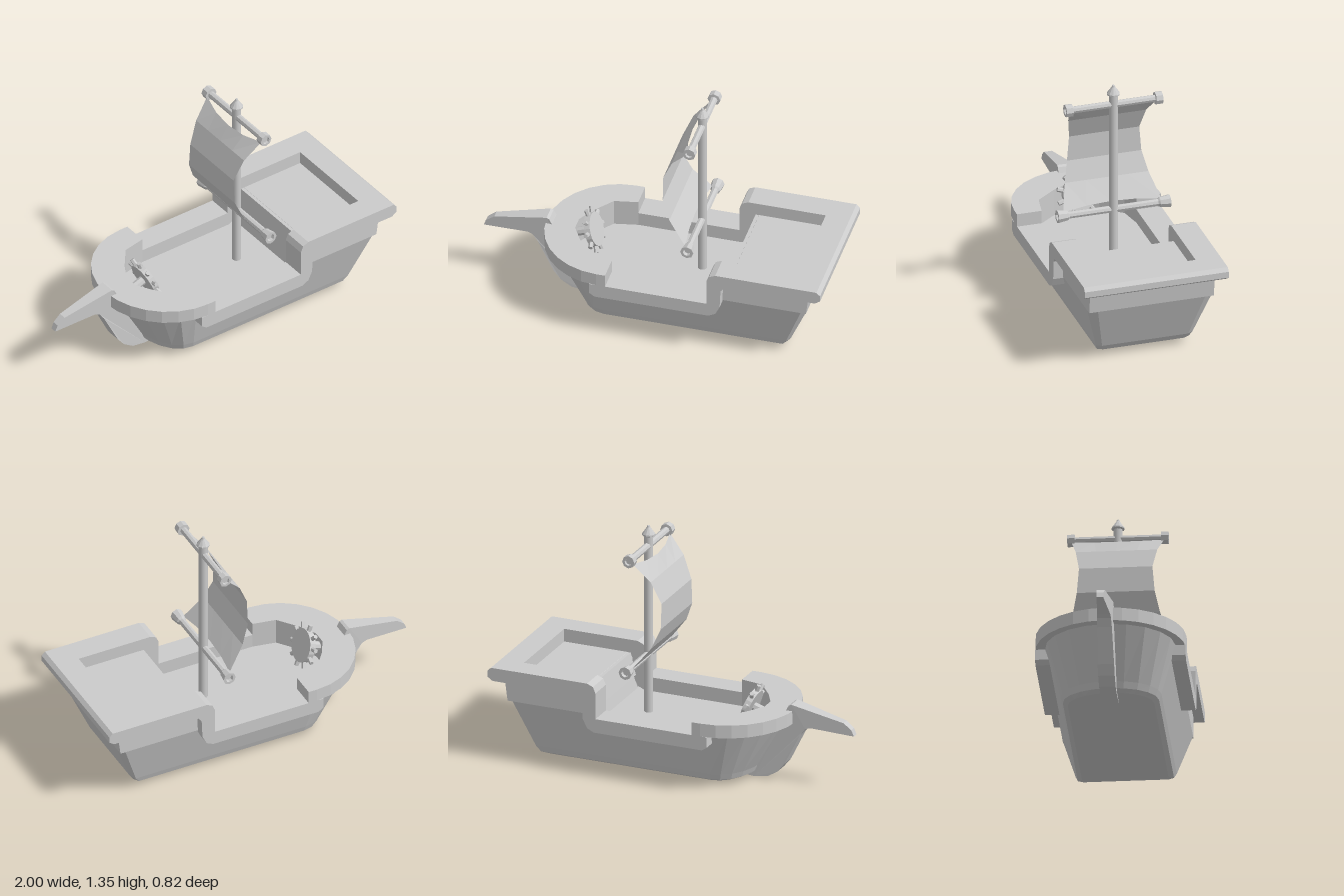
import * as THREE from 'three';

const flat = new THREE.MeshStandardMaterial({ color: 0xcccccc, flatShading: true });
const thin = new THREE.MeshStandardMaterial({ color: 0xcccccc, flatShading: true, side: THREE.DoubleSide });
const smooth = new THREE.MeshStandardMaterial({ color: 0xcccccc });

const MAST_X = 0.225, DECK_Y = 0.26;

function add(parent, name, geometry, material = flat) {
  const mesh = new THREE.Mesh(geometry, material);
  mesh.name = name;
  parent.add(mesh);
  return mesh;
}

const toShape = pts => new THREE.Shape(pts.map(p => new THREE.Vector2(...p)));

// Side profile (x, y) extruded between two z values
function sideSlab(pts, z0, z1) {
  return new THREE.ExtrudeGeometry(toShape(pts), { depth: z1 - z0, bevelEnabled: false }).translate(0, 0, z0);
}

// Plan shape (x, z) extruded between two heights
function planSlab(pts, y0, y1) {
  return new THREE.ExtrudeGeometry(toShape(pts), { depth: y1 - y0, bevelEnabled: false })
    .rotateX(-Math.PI / 2).translate(0, y0, 0);
}

// Bow half-ellipse from +z to -z
function bowArc(shoulder, tip, w, n) {
  return Array.from({ length: n + 1 }, (_, i) => {
    const a = (i / n) * Math.PI;
    return [shoulder - (shoulder - tip) * Math.sin(a), w * Math.cos(a)];
  });
}

// Grid of rows of [x, y, z] joined into a surface
function loft(rows, closed, cap) {
  const n = rows[0].length, index = [], pos = rows.flat(2);
  for (let r = 0; r < rows.length - 1; r++) {
    for (let i = 0; i < (closed ? n : n - 1); i++) {
      const a = r * n + i, b = r * n + (i + 1) % n;
      index.push(a, a + n, b, b, a + n, b + n);
    }
  }
  if (cap) {
    const c = pos.length / 3;
    pos.push(0.15, rows[0][0][1], 0);
    for (let i = 0; i < n; i++) index.push(c, i, (i + 1) % n);
  }
  const g = new THREE.BufferGeometry();
  g.setAttribute('position', new THREE.Float32BufferAttribute(pos, 3));
  g.setIndex(index);
  g.computeVertexNormals();
  return g;
}

function buildHull(ship) {
  // height, half width, stern x, bow x, shoulder x, corner chamfer
  const levels = [
    [0.02, 0.235, 0.72, -0.40, -0.25, 0.03],
    [0.035, 0.262, 0.765, -0.43, -0.255, 0.03],
    [0.07, 0.275, 0.79, -0.445, -0.26, 0.03],
    [0.34, 0.355, 0.905, -0.60, -0.30, 0.05],
  ];
  const rows = levels.map(([y, w, s, b, sh, c]) =>
    [[s, w - c], [s - c * 0.6, w], ...bowArc(sh, b, w, 10), [s - c * 0.6, -w], [s, c - w]]
      .map(([x, z]) => [x, y, z]));
  add(ship, 'hull', loft(rows, true, true), thin);

  // Raised stern and the decks
  add(ship, 'sternUpperHull', sideSlab([[0.42, 0.34], [0.905, 0.34], [0.922, 0.465], [0.45, 0.465]], -0.355, 0.355));
  add(ship, 'rearDeckStep', sideSlab([[0.41, 0.24], [0.86, 0.24], [0.86, 0.466], [0.47, 0.466], [0.46, 0.455]], -0.28, 0.28));
  add(ship, 'mainDeck', planSlab([[0.5, 0.3], ...bowArc(-0.25, -0.5, 0.3, 10), [0.5, -0.3]], 0.22, DECK_Y));
}

function buildRails(ship) {
  // Stepped side rails
  const side = [
    [-0.30, 0.34], [-0.30, 0.28], [-0.27, 0.26], [0.37, 0.26], [0.41, 0.28], [0.435, 0.33],
    [0.44, 0.44], [0.46, 0.465], [0.97, 0.465], [1, 0.485], [1, 0.52], [0.98, 0.54],
    [0.41, 0.54], [0.375, 0.525], [0.36, 0.49], [0.36, 0.34],
  ];
  add(ship, 'leftRail', sideSlab(side, 0.27, 0.41));
  add(ship, 'rightRail', sideSlab(side, -0.41, -0.27));
  add(ship, 'sternRail', sideSlab(
    [[0.845, 0.46], [0.97, 0.465], [1, 0.485], [1, 0.52], [0.98, 0.54], [0.845, 0.54]], -0.27, 0.27));

  // Horseshoe rail round the bow, with its inner wall down to the deck
  const inner = [[-0.21, -0.27], [-0.34, -0.245], [-0.43, -0.13], [-0.48, -0.04],
    [-0.48, 0.04], [-0.43, 0.13], [-0.34, 0.245], [-0.21, 0.27]];
  const outer = (tip, w) => [[-0.21, w], ...bowArc(-0.26, tip, w, 14), [-0.21, -w]];
  add(ship, 'bowRail', planSlab([...outer(-0.65, 0.41), ...inner], 0.34, 0.415));
  add(ship, 'bowInnerWall', planSlab([...outer(-0.53, 0.31), ...inner], 0.24, 0.345));
}

function buildProw(ship) {
  // Keel and bowsprit in one, narrowing towards the tip
  const g = sideSlab([
    [-1, 0.315], [-0.96, 0.317], [-0.75, 0.33], [-0.72, 0.32], [-0.69, 0.28], [-0.60, 0.10], [-0.56, 0.05],
    [-0.5, 0.012], [-0.42, 0], [-0.28, 0.015], [-0.28, 0.03], [-0.41, 0.06], [-0.56, 0.34],
    [-0.61, 0.416], [-0.625, 0.445], [-0.64, 0.452], [-0.94, 0.385], [-0.985, 0.35],
  ], -1, 1);
  const p = g.attributes.position;
  for (let i = 0; i < p.count; i++) {
    const t = Math.max(0, Math.min(1, (-0.62 - p.getX(i)) / 0.38));
    p.setZ(i, p.getZ(i) * (0.045 - 0.027 * t));
  }
  add(ship, 'prow', g);
}

function buildYard(ship, name, y, half, capProfile) {
  const yard = new THREE.Group();
  yard.name = name;
  yard.position.set(MAST_X, y, 0);
  add(yard, 'spar', new THREE.CylinderGeometry(0.02, 0.02, half * 2, 8).rotateX(Math.PI / 2));
  const pts = capProfile.map(q => new THREE.Vector2(...q));
  for (const s of [1, -1]) {
    add(yard, 'endCap', new THREE.LatheGeometry(pts, 8).rotateX(s * Math.PI / 2), thin);
  }
  ship.add(yard);
}

function buildRig(ship) {
  const mast = add(ship, 'mast', new THREE.CylinderGeometry(0.025, 0.025, 1.04, 12), smooth);
  mast.position.set(MAST_X, 0.77, 0);
  const finial = [[0, 1.28], [0.026, 1.285], [0.036, 1.29], [0.036, 1.298], [0.01, 1.335], [0.007, 1.345], [0, 1.346]];
  add(ship, 'mastFinial', new THREE.LatheGeometry(finial.map(q => new THREE.Vector2(...q)), 10), thin).position.x = MAST_X;

  buildYard(ship, 'upperYard', 1.23, 0.25,
    [[0.018, 0.235], [0.036, 0.236], [0.036, 0.275], [0.021, 0.275], [0.019, 0.262], [0, 0.262]]);
  buildYard(ship, 'lowerYard', 0.595, 0.28,
    [[0.018, 0.25], [0.028, 0.262], [0.037, 0.32], [0.022, 0.32], [0.02, 0.3], [0, 0.3]]);

  // Billowing sail: x, y, half width, and sag of the middle in x and y
  const rows = [
    [0.21, 1.212, 0.252, -0.04, -0.022],
    [0.115, 1.11, 0.222, 0, 0],
    [0.06, 0.985, 0.2, 0, 0],
    [0.06, 0.84, 0.212, 0, 0],
    [0.105, 0.73, 0.238, 0, 0],
    [0.205, 0.605, 0.28, -0.02, 0.018],
  ].map(([x, y, w, dx, dy]) => [-1, -0.5, 0, 0.5, 1].map(u =>
    [x + dx * (1 - u * u), y + dy * (1 - u * u), w * u]));
  add(ship, 'sail', loft(rows, false, false), thin);
}

function buildWheel(ship) {
  // Wheel axis is local y, tipped to face aft and slightly up
  const wheel = new THREE.Group();
  wheel.name = 'steeringWheel';
  wheel.position.set(-0.385, 0.395, 0);
  wheel.rotation.z = -Math.PI / 2 + 0.35;
  add(wheel, 'disc', new THREE.CylinderGeometry(0.095, 0.095, 0.035, 20));
  add(wheel, 'axle', new THREE.CylinderGeometry(0.025, 0.025, 0.1, 8)).position.y = -0.05;
  for (let i = 0; i < 10; i++) {
    const a = (i / 10) * Math.PI * 2;
    const peg = add(wheel, 'peg', new THREE.CylinderGeometry(0.013, 0.013, 0.045, 6).rotateZ(Math.PI / 2));
    peg.position.set(-Math.cos(a) * 0.105, 0, Math.sin(a) * 0.105);
    peg.rotation.y = a;
  }
  ship.add(wheel);
}

export function createModel() {
  const ship = new THREE.Group();
  ship.name = 'sailingShip';
  buildHull(ship);
  buildRails(ship);
  buildProw(ship);
  buildRig(ship);
  buildWheel(ship);
  return ship;
}
